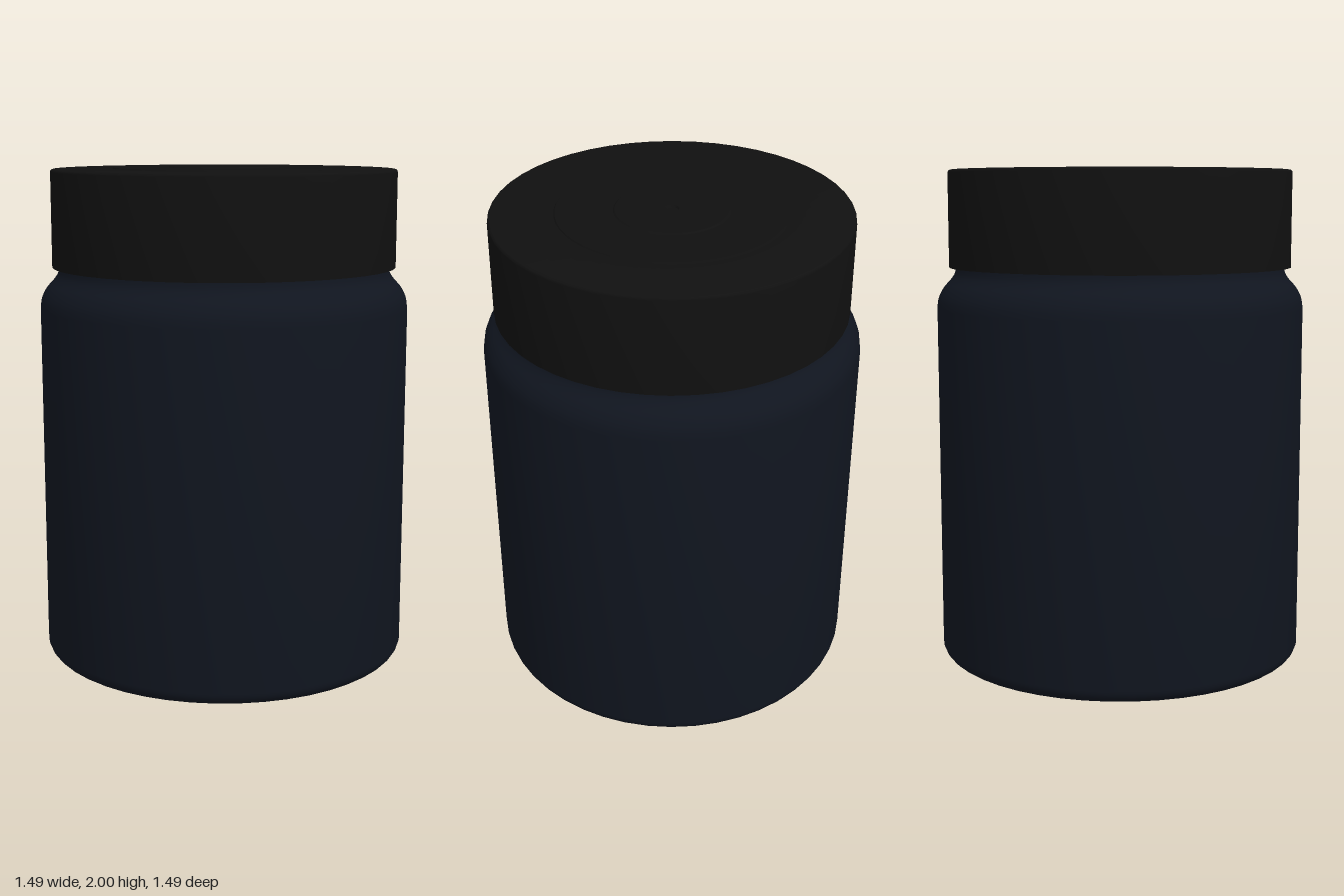
import * as THREE from 'three';
import { toCreasedNormals } from 'three/addons/utils/BufferGeometryUtils.js';

const SEGMENTS = 48;

// Turn a [radius, height] profile, listed bottom to top on the outside, into a mesh
function turned(name, profile, color, crease) {
  const points = profile.map(([r, y]) => new THREE.Vector2(r, y));
  const geometry = toCreasedNormals(new THREE.LatheGeometry(points, SEGMENTS), crease);
  const material = new THREE.MeshStandardMaterial({ color });
  const mesh = new THREE.Mesh(geometry, material);
  mesh.name = name;
  return mesh;
}

// Quarter-round corner points about (r, y), between two angles
function corner(r, y, radius, from, to, steps) {
  return Array.from({ length: steps + 1 }, (_, i) => {
    const a = from + ((to - from) * i) / steps;
    return [r + radius * Math.cos(a), y + radius * Math.sin(a)];
  });
}

export function createModel() {
  const model = new THREE.Group();
  model.name = 'jar';

  // Jar body: shallow raised base, rounded foot, straight wall, curved shoulder, neck
  const shoulder = new THREE.SplineCurve([
    [0.745, 1.44], [0.738, 1.48], [0.717, 1.52], [0.69, 1.55], [0.673, 1.575], [0.667, 1.6],
  ].map(([r, y]) => new THREE.Vector2(r, y))).getPoints(14).map((p) => [p.x, p.y]);
  model.add(turned('jarBody', [
    [0, 0.012], [0.55, 0.012], [0.62, 0.008], [0.66, 0],
    ...corner(0.69, 0.055, 0.055, -Math.PI / 2, 0, 7),
    ...shoulder,
    [0.665, 1.62], [0.665, 1.93], [0, 1.93],
  ], 0x10151f, 0.7));

  // Lid: hollow skirt, softened top edge, two shallow steps and a centre dimple
  const lidCorner = corner(0.683, 1.978, 0.012, 0, Math.PI / 2, 4);
  model.add(turned('lid', [
    [0, 1.94], [0.676, 1.94], [0.676, 1.602], [0.695, 1.602],
    ...lidCorner,
    [0.447, 1.99], [0.443, 1.995],
    [0.223, 1.995], [0.217, 2],
    [0.028, 2], [0.023, 1.992], [0, 1.992],
  ], 0x101010, 0.5));

  return model;
}
